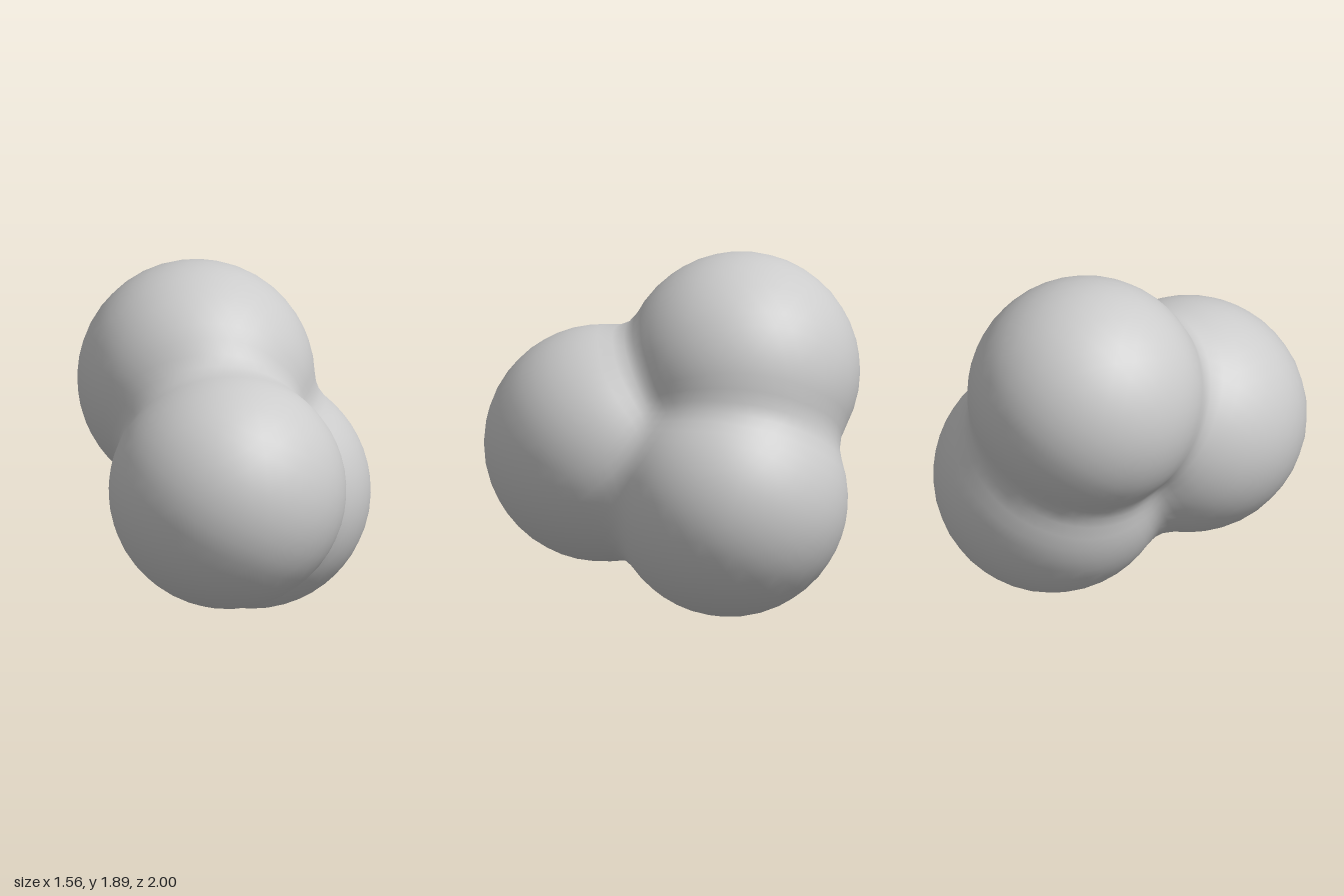
import * as THREE from 'three';
import { mergeVertices } from 'three/addons/utils/BufferGeometryUtils.js';

// Three equal lobes that melt softly into one another
const RADIUS = 0.632;
const BLEND = 0.11;
const LOBES = [
  new THREE.Vector3(-0.15, 1.265, -0.37), // upper
  new THREE.Vector3(-0.075, 0.85, 0.368), // front
  new THREE.Vector3(0.15, 0.632, -0.37),  // lower
];

// Polynomial smooth minimum
function smoothMin(a, b) {
  const h = Math.max(BLEND - Math.abs(a - b), 0) / BLEND;
  return Math.min(a, b) - h * h * BLEND * 0.25;
}

// Signed distance to the blended lobes
function distance(p) {
  return LOBES.map((c) => p.distanceTo(c) - RADIUS).reduce(smoothMin);
}

// Push every vertex of a sphere outward from the middle until it meets the skin
function blobGeometry() {
  const middle = new THREE.Vector3();
  LOBES.forEach((c) => middle.addScaledVector(c, 1 / LOBES.length));

  const base = new THREE.IcosahedronGeometry(1, 11);
  base.deleteAttribute('uv');
  base.deleteAttribute('normal');
  const geometry = mergeVertices(base, 1e-4);
  const pos = geometry.attributes.position;
  const dir = new THREE.Vector3();
  const p = new THREE.Vector3();

  for (let i = 0; i < pos.count; i++) {
    dir.fromBufferAttribute(pos, i).normalize();
    let near = 0;
    let far = 2;
    for (let step = 0; step < 30; step++) {
      const t = (near + far) / 2;
      p.copy(middle).addScaledVector(dir, t);
      if (distance(p) < 0) near = t;
      else far = t;
    }
    pos.setXYZ(i, p.x, p.y, p.z);
  }
  geometry.computeVertexNormals();
  return geometry;
}

export function createModel() {
  const model = new THREE.Group();
  model.name = 'threeLobedBlob';
  const blob = new THREE.Mesh(
    blobGeometry(),
    new THREE.MeshStandardMaterial({ color: 0xcccccc })
  );
  blob.name = 'mergedLobes';
  model.add(blob);
  return model;
}
